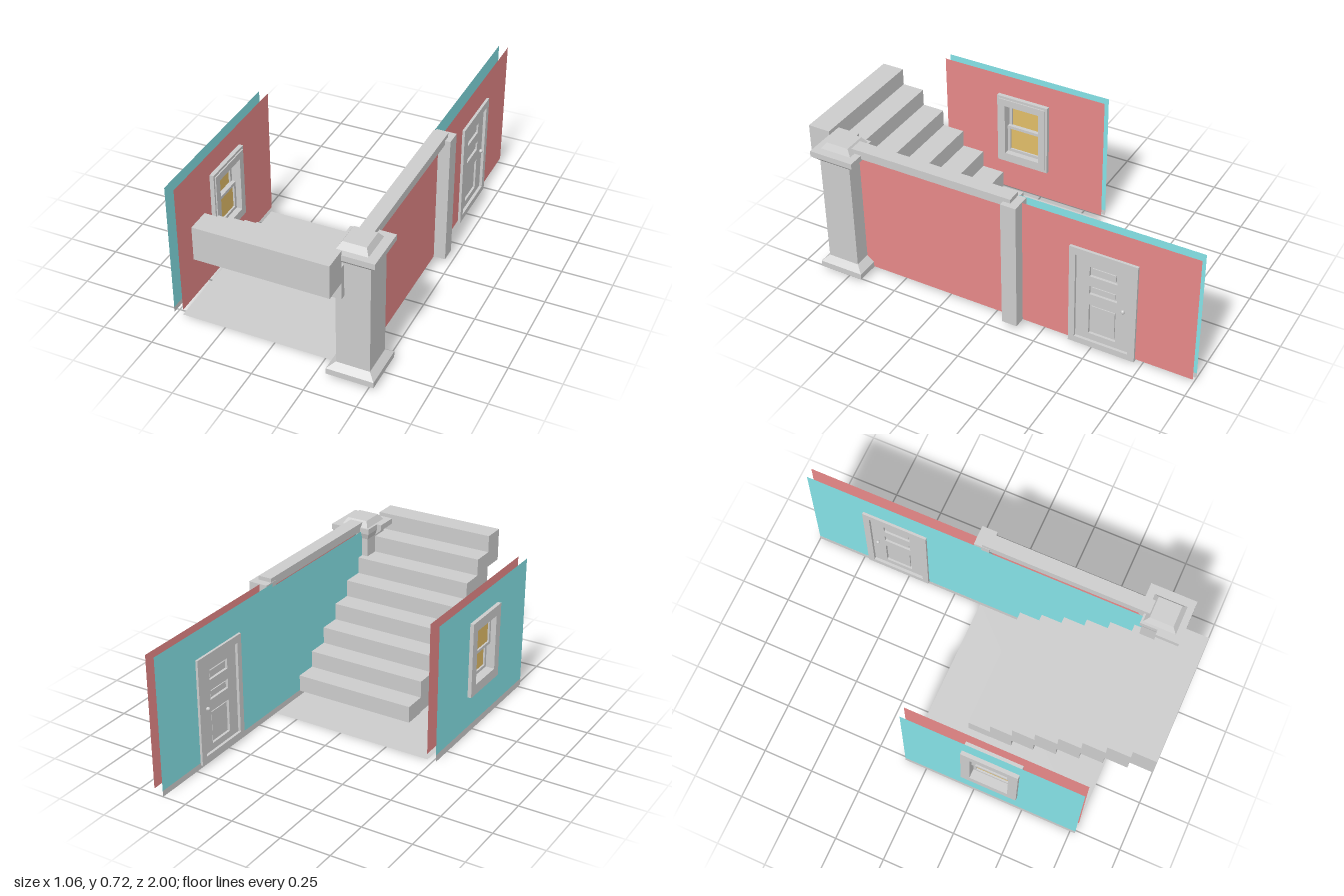
import * as THREE from 'three';

const mat = (color, side = THREE.FrontSide) =>
  new THREE.MeshStandardMaterial({ color, side, flatShading: true });
const grey = mat(0xcccccc);
const greyThin = mat(0xcccccc, THREE.DoubleSide);
const red = mat(0xe68888, THREE.DoubleSide);
const teal = mat(0x84e1e5, THREE.DoubleSide);
const amber = mat(0xe0bc68, THREE.DoubleSide);

function add(parent, name, geometry, material = grey) {
  const mesh = new THREE.Mesh(geometry, material);
  mesh.name = name;
  parent.add(mesh);
  return mesh;
}

// Box given by its limits on each axis
function box(x0, x1, y0, y1, z0, z1) {
  return new THREE.BoxGeometry(x1 - x0, y1 - y0, z1 - z0)
    .translate((x0 + x1) / 2, (y0 + y1) / 2, (z0 + z1) / 2);
}

// Rectangle [z0, z1, y0, y1] with rectangular holes, drawn in the (-z, y) plane
function outline(rect, holes = []) {
  const pts = ([z0, z1, y0, y1]) =>
    [[-z1, y0], [-z0, y0], [-z0, y1], [-z1, y1]].map(p => new THREE.Vector2(...p));
  const shape = new THREE.Shape(pts(rect));
  for (const h of holes) shape.holes.push(new THREE.Path(pts(h).reverse()));
  return shape;
}

// Flat sheet and thick slab, both facing along x
const sheet = (x, rect, holes) =>
  new THREE.ShapeGeometry(outline(rect, holes)).rotateY(Math.PI / 2).translate(x, 0, 0);
const slab = (x0, x1, rect, holes) =>
  new THREE.ExtrudeGeometry(outline(rect, holes), { depth: x1 - x0, bevelEnabled: false })
    .rotateY(Math.PI / 2).translate(x0, 0, 0);

// Solid through stacked sections: each is [y, [[x, z], ...]] with matching corners
function loft(sections) {
  const pos = [];
  const put = (...corners) => corners.forEach(([y, [x, z]]) => pos.push(x, y, z));
  for (let s = 0; s < sections.length - 1; s++) {
    const [ya, a] = sections[s], [yb, b] = sections[s + 1];
    a.forEach((p, i) => {
      const j = (i + 1) % a.length;
      put([ya, p], [ya, a[j]], [yb, b[j]]);
      put([ya, p], [yb, b[j]], [yb, b[i]]);
    });
  }
  const cap = ([y, pts], up) => {
    const tris = THREE.ShapeUtils.triangulateShape(pts.map(p => new THREE.Vector2(...p)), []);
    for (const [i, j, k] of tris) {
      const [p, q, r] = [pts[i], pts[j], pts[k]];
      const turn = (q[0] - p[0]) * (r[1] - p[1]) - (q[1] - p[1]) * (r[0] - p[0]);
      if ((turn < 0) === up) put([y, p], [y, q], [y, r]);
      else put([y, p], [y, r], [y, q]);
    }
  };
  cap(sections[0], false);
  cap(sections[sections.length - 1], true);
  const g = new THREE.BufferGeometry();
  g.setAttribute('position', new THREE.Float32BufferAttribute(pos, 3));
  g.computeVertexNormals();
  return g;
}
const rectXZ = (x0, x1, z0, z1) => [[x0, z1], [x1, z1], [x1, z0], [x0, z0]];

function newelPost() {
  const g = new THREE.Group();
  g.name = 'newelPost';
  const shaft = [0.34, 0.5, 0.7, 0.86];
  const foot = rectXZ(0.305, 0.53, 0.665, 0.89);
  add(g, 'newelBase', loft([[0.025, foot], [0.055, foot], [0.083, rectXZ(...shaft)]]));
  add(g, 'newelShaft', box(shaft[0], shaft[1], 0.07, 0.64, shaft[2], shaft[3]));
  // cap notched where the stairs pass
  const capPts = [[0.305, 0.89], [0.53, 0.89], [0.53, 0.665], [0.38, 0.665],
    [0.38, 0.69], [0.33, 0.69], [0.33, 0.775], [0.305, 0.775]];
  const neck = capPts.map(([x, z]) => [
    THREE.MathUtils.clamp(x, shaft[0], shaft[1]),
    THREE.MathUtils.clamp(z, shaft[2], shaft[3])]);
  add(g, 'newelCap', loft([[0.632, neck], [0.662, capPts], [0.69, capPts]]));
  add(g, 'newelTop', loft([
    [0.69, rectXZ(0.342, 0.487, 0.7, 0.858)],
    [0.72, rectXZ(0.36, 0.47, 0.722, 0.836)]]));
  return g;
}

const DOOR = [-0.72, -0.39, 0.018, 0.553];
const DOOR_LEAF = [-0.687, -0.42, 0.05, 0.515];

function door() {
  const g = new THREE.Group();
  g.name = 'door';
  add(g, 'doorFrame', slab(0.36, 0.431, DOOR, [DOOR_LEAF]));
  const panels = [[0.41, 0.462], [0.31, 0.357], [0.084, 0.25]]
    .map(([y0, y1]) => [-0.62, -0.485, y0, y1]);
  add(g, 'doorLeaf', slab(0.374, 0.417, DOOR_LEAF, panels));
  for (const [z0, z1, y0, y1] of panels) {
    add(g, 'doorPanelBack', box(0.387, 0.404, y0, y1, z0, z1));
    add(g, 'doorPanel', box(0.38, 0.411, y0 + 0.01, y1 - 0.01, z0 + 0.01, z1 - 0.01));
  }
  for (const x of [0.364, 0.427])
    add(g, 'doorKnob', new THREE.SphereGeometry(0.01, 10, 8).translate(x, 0.282, -0.655));
  return g;
}

const WINDOW = [0.19, 0.47, 0.198, 0.58];

function windowUnit() {
  const g = new THREE.Group();
  g.name = 'window';
  const opening = [0.235, 0.425, 0.25, 0.53];
  add(g, 'windowFrame', slab(-0.532, -0.446, WINDOW, [opening]));
  add(g, 'windowTrim', slab(-0.446, -0.44, [0.2, 0.46, 0.213, 0.567], [opening]));
  // two sashes meeting at a middle rail
  for (const [x0, x1, y0, y1] of [[-0.505, -0.487, 0.38, 0.53], [-0.487, -0.469, 0.25, 0.4]]) {
    add(g, 'windowSash', slab(x0, x1, [0.235, 0.425, y0, y1], [[0.25, 0.41, y0 + 0.015, y1 - 0.015]]));
    add(g, 'windowGlass', sheet((x0 + x1) / 2, [0.25, 0.41, y0 + 0.015, y1 - 0.015]), amber);
  }
  return g;
}

export function createModel() {
  const model = new THREE.Group();
  model.name = 'staircaseHall';

  add(model, 'floor', new THREE.PlaneGeometry(0.85, 0.885)
    .rotateX(-Math.PI / 2).translate(-0.045, 0, 0.332), greyThin);

  // Stairs rise towards the front; each step is two risers tall
  const stairs = new THREE.Group();
  stairs.name = 'stairs';
  model.add(stairs);
  const rise = 0.0857, run = 0.112;
  for (let i = 0; i < 8; i++) {
    const top = 0.11 + i * rise;
    add(stairs, 'step', box(-0.25, 0.38, Math.max(0.025, top - 2 * rise + 0.006), top,
      0.104 + i * run, 0.104 + (i + 1) * run));
  }

  // Wall with door: red outer skin, teal stair-side skin
  const doorHole = [-0.7, -0.41, 0.04, 0.535];
  add(model, 'doorWallOuter', sheet(0.418, [-1, -0.11, 0.028, 0.69], [doorHole]), red);
  add(model, 'railWallOuter', sheet(0.418, [-0.11, 0.77, 0.028, 0.672]), red);
  add(model, 'doorWallInner', sheet(0.372, [-1, -0.11, 0.028, 0.69], [doorHole]), teal);
  add(model, 'railWallInner', sheet(0.372, [-0.11, 0.77, 0.028, 0.672]), teal);
  add(model, 'doorWallBaseboard', sheet(0.371, [-1, 0.77, 0, 0.03]), greyThin);

  // Wall with window
  const windowHole = [0.21, 0.45, 0.22, 0.56];
  add(model, 'windowWallInner', sheet(-0.467, [-0.11, 0.775, 0.028, 0.69], [windowHole]), red);
  add(model, 'windowWallOuter', sheet(-0.513, [-0.11, 0.775, 0.028, 0.69], [windowHole]), teal);
  add(model, 'windowWallBaseboard', sheet(-0.514, [-0.11, 0.775, 0, 0.035]), greyThin);

  // Rail, posts and openings
  add(model, 'handrail', box(0.38, 0.45, 0.67, 0.712, -0.11, 0.72));
  add(model, 'wallPost', box(0.378, 0.476, 0.028, 0.692, -0.15, -0.073));
  model.add(newelPost(), door(), windowUnit());
  return model;
}
